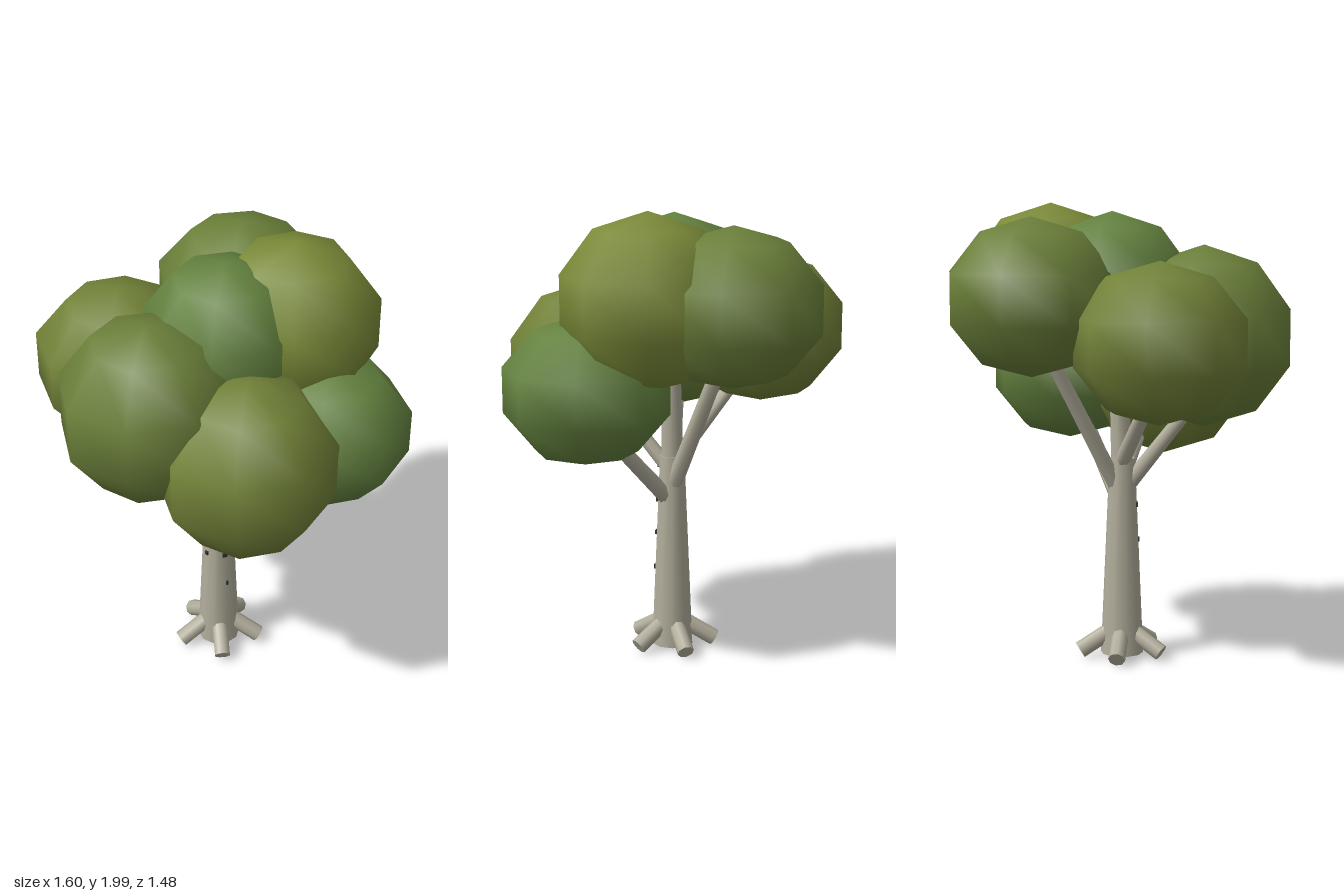
import * as THREE from 'three';

const bark = new THREE.MeshStandardMaterial({ color: 0xb2ae9c });
const darkBark = new THREE.MeshStandardMaterial({ color: 0x38352c });
const green = new THREE.MeshStandardMaterial({ color: 0x64823f });
const leaf = new THREE.MeshStandardMaterial({ color: 0x6b803a });
const olive = new THREE.MeshStandardMaterial({ color: 0x728238 });
const yellow = new THREE.MeshStandardMaterial({ color: 0x7a8a38 });

// Trunk axis and taper
const CX = -0.008, CZ = 0.05, BASE = 0.03, TOP = 0.9, R0 = 0.094, R1 = 0.056;
const trunkRadius = (y) => R0 + (R1 - R0) * (y - BASE) / (TOP - BASE);

// Tapered round limb between two points
function limb(name, a, b, r0, r1, sides = 8) {
  const from = new THREE.Vector3(...a), to = new THREE.Vector3(...b);
  const dir = to.clone().sub(from);
  const mesh = new THREE.Mesh(new THREE.CylinderGeometry(r1, r0, dir.length(), sides), bark);
  mesh.position.copy(from).addScaledVector(dir, 0.5);
  mesh.quaternion.setFromUnitVectors(new THREE.Vector3(0, 1, 0), dir.normalize());
  mesh.name = name;
  return mesh;
}

export function createModel() {
  const tree = new THREE.Group();
  tree.name = 'tree';

  // Trunk and the thinner stem inside the crown
  tree.add(limb('trunk', [CX, BASE, CZ], [CX, TOP, CZ], R0, R1, 10));
  tree.add(limb('upperStem', [CX, 0.86, CZ], [0.01, 1.45, 0.03], 0.05, 0.035));

  // Five roots fanned around the base
  for (let i = 0; i < 5; i++) {
    const a = i * Math.PI * 2 / 5, c = Math.cos(a), s = Math.sin(a);
    tree.add(limb('root', [CX + 0.05 * c, 0.13, CZ + 0.05 * s],
      [CX + 0.188 * c, 0.046, CZ + 0.188 * s], 0.037, 0.037));
  }

  // Branches, each reaching into one clump
  const branches = [
    [[0.02, 0.71, 0.05], [0.42, 1.13, 0.04], 0.037],
    [[-0.02, 0.78, 0.07], [-0.22, 1.16, 0.29], 0.035],
    [[0, 0.77, 0.03], [0, 1.42, -0.33], 0.037],
    [[-0.02, 0.88, 0.04], [-0.42, 1.3, 0], 0.034],
    [[0, 0.84, 0.07], [0.15, 1.15, 0.3], 0.033],
  ];
  for (const [a, b, r] of branches) tree.add(limb('branch', a, b, r, r * 0.8));

  // Dark flecks on the front of the trunk: x, y, width
  const flecks = [[0.01, 0.85, 0.05], [-0.042, 0.695, 0.028], [0.032, 0.695, 0.03],
    [-0.048, 0.54, 0.014], [0.034, 0.54, 0.022], [0.045, 0.38, 0.01]];
  for (const [x, y, w] of flecks) {
    const a = Math.asin((x - CX) / trunkRadius(y)), r = trunkRadius(y) * 0.98;
    const fleck = new THREE.Mesh(new THREE.BoxGeometry(w, 0.02, 0.012), darkBark);
    fleck.position.set(CX + r * Math.sin(a), y, CZ + r * Math.cos(a));
    fleck.rotation.y = a;
    fleck.name = 'barkFleck';
    tree.add(fleck);
  }

  // Foliage clumps: centre, horizontal radius, vertical radius, turn in degrees
  const ball = new THREE.SphereGeometry(1, 8, 5);
  const clumps = [
    ['topClump', green, [0.01, 1.615, 0.01], 0.36, 0.35, 4],
    ['backLeftClump', yellow, [0.265, 1.63, -0.155], 0.378, 0.37, 10],
    ['backClump', leaf, [0, 1.61, -0.38], 0.384, 0.335, 0],
    ['rightClump', olive, [-0.447, 1.435, -0.02], 0.374, 0.335, 8],
    ['frontRightClump', leaf, [-0.235, 1.437, 0.32], 0.39, 0.388, 2],
    ['frontLeftClump', olive, [0.182, 1.262, 0.372], 0.388, 0.388, 5],
    ['leftClump', green, [0.45, 1.252, 0.03], 0.368, 0.316, 6],
  ];
  for (const [name, material, pos, r, h, turn] of clumps) {
    const clump = new THREE.Mesh(ball, material);
    clump.position.set(...pos);
    clump.scale.set(r, h, r);
    clump.rotation.y = THREE.MathUtils.degToRad(turn);
    clump.name = name;
    tree.add(clump);
  }
  return tree;
}
